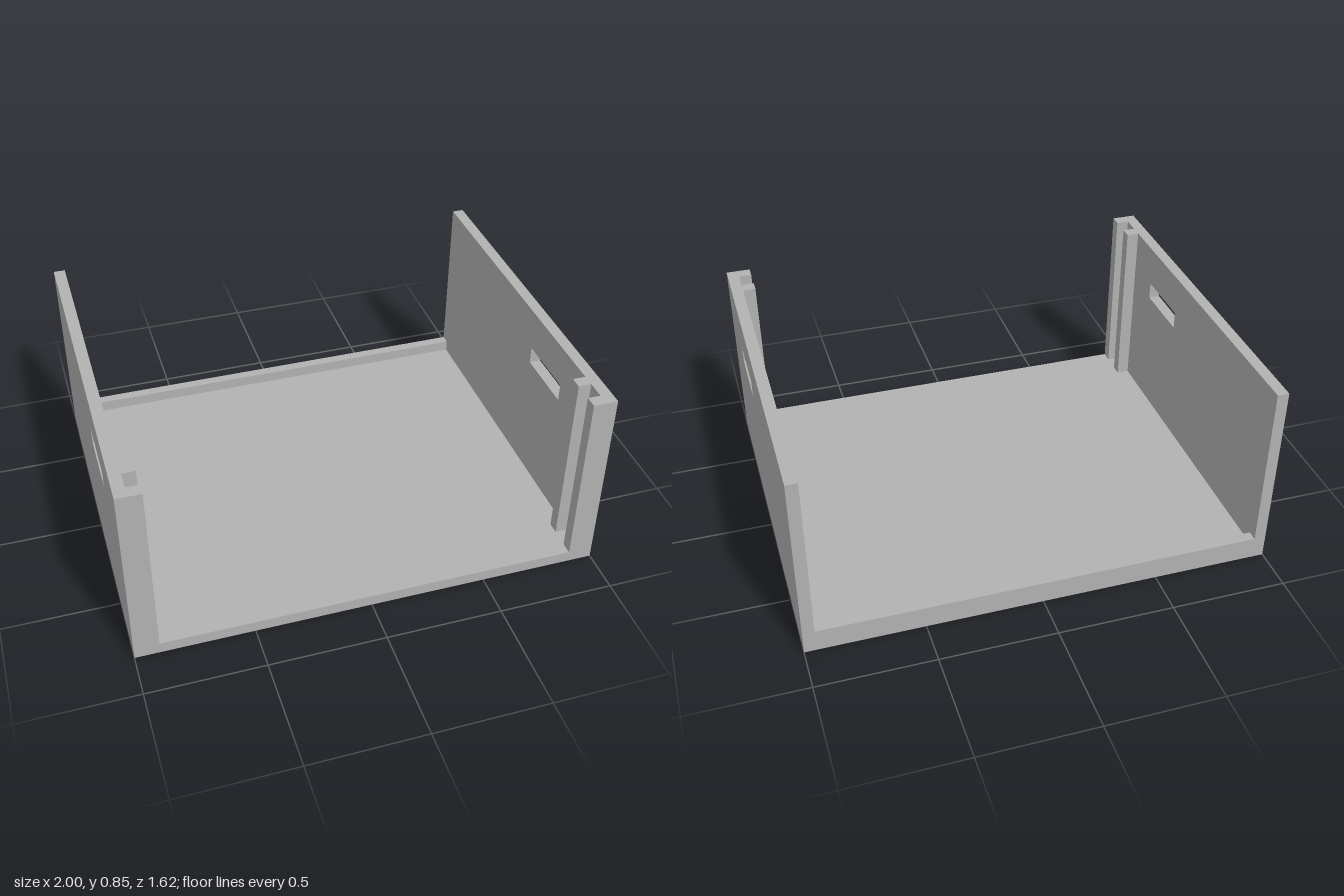
import * as THREE from 'three';

const DEPTH = 0.81, HEIGHT = 0.845, WALL = 0.05;

export function createModel() {
  const group = new THREE.Group();
  const grey = new THREE.MeshStandardMaterial({ color: 0xb2b2b2 });
  grey.name = 'plain grey';

  const add = (name, geometry) => {
    const mesh = new THREE.Mesh(geometry, grey);
    mesh.name = name;
    group.add(mesh);
  };

  // Box given by its lower and upper corners
  const box = (name, x0, x1, y0, y1, z0, z1) =>
    add(name, new THREE.BoxGeometry(x1 - x0, y1 - y0, z1 - z0)
      .translate((x0 + x1) / 2, (y0 + y1) / 2, (z0 + z1) / 2));

  const rectangle = (Type, a0, a1, b0, b1) => new Type([
    new THREE.Vector2(a0, b0), new THREE.Vector2(a1, b0),
    new THREE.Vector2(a1, b1), new THREE.Vector2(a0, b1),
  ]);

  // Floor and low lip along the back edge
  box('floor', -0.95, 0.95, 0, 0.05, -DEPTH, DEPTH);
  box('backLip', -0.95, 0.95, 0.05, 0.1, -DEPTH, -0.765);

  // Side wall profile, drawn in z and y, with a handle slot
  const profile = rectangle(THREE.Shape, -DEPTH, DEPTH, 0, HEIGHT);
  profile.holes.push(rectangle(THREE.Path, 0.15, 0.44, 0.593, 0.67));

  for (const [side, s] of [['left', 1], ['right', -1]]) {
    const wall = new THREE.ExtrudeGeometry(profile, { depth: WALL, bevelEnabled: false });
    wall.rotateY(-Math.PI / 2).translate(s > 0 ? 1 : -1 + WALL, 0, 0);
    add(`${side}Wall`, wall);

    // Two upright rails that form the groove for a sliding front panel
    for (const [rail, z0, z1] of [['InnerRail', 0.625, 0.677], ['FrontRail', 0.757, DEPTH]]) {
      const x0 = s > 0 ? 0.895 : -0.95;
      box(side + rail, x0, x0 + 0.055, WALL, HEIGHT, z0, z1);
    }
  }
  return group;
}
